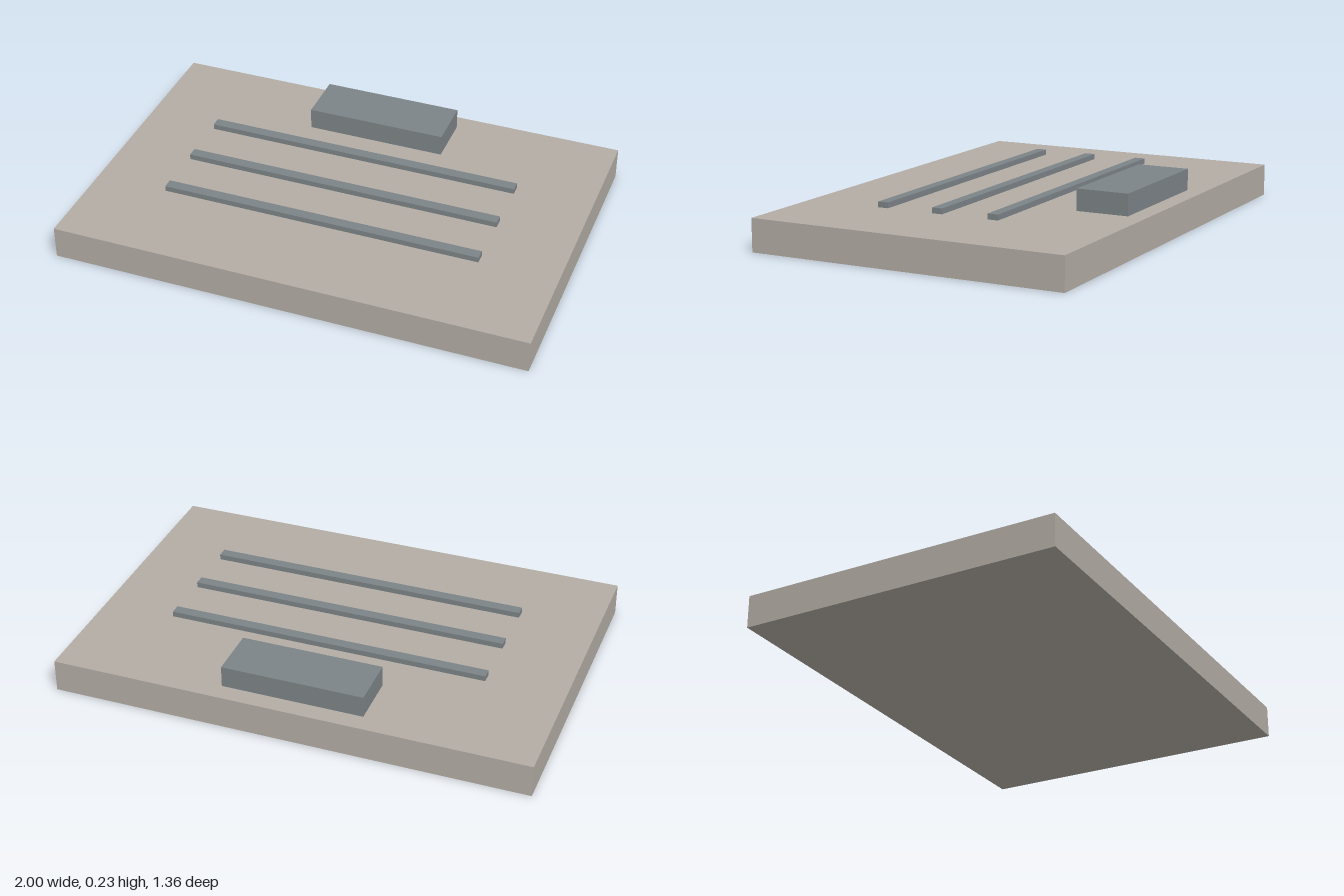
import * as THREE from 'three';

export function createModel() {
  const model = new THREE.Group();
  model.name = 'slabWithBars';

  const stone = new THREE.MeshStandardMaterial({ color: 0xb3ada5 });
  stone.name = 'warm grey';
  const steel = new THREE.MeshStandardMaterial({ color: 0x7d8488 });
  steel.name = 'steel grey';

  // Box given by its size, bottom height and depth position
  function addBox(name, material, width, height, depth, bottom, z) {
    const mesh = new THREE.Mesh(new THREE.BoxGeometry(width, height, depth), material);
    mesh.name = name;
    mesh.position.set(0, bottom + height / 2, z);
    model.add(mesh);
  }

  // Base slab
  addBox('baseSlab', stone, 2, 0.137, 1.355, 0, 0);

  // Raised block near the back edge
  addBox('rearBlock', steel, 0.595, 0.09, 0.223, 0.137, -0.488);

  // Three thin bars held just above the slab
  [-0.21, 0.035, 0.28].forEach((z, i) => {
    addBox(`bar${i + 1}`, steel, 1.355, 0.023, 0.045, 0.156, z);
  });

  return model;
}
